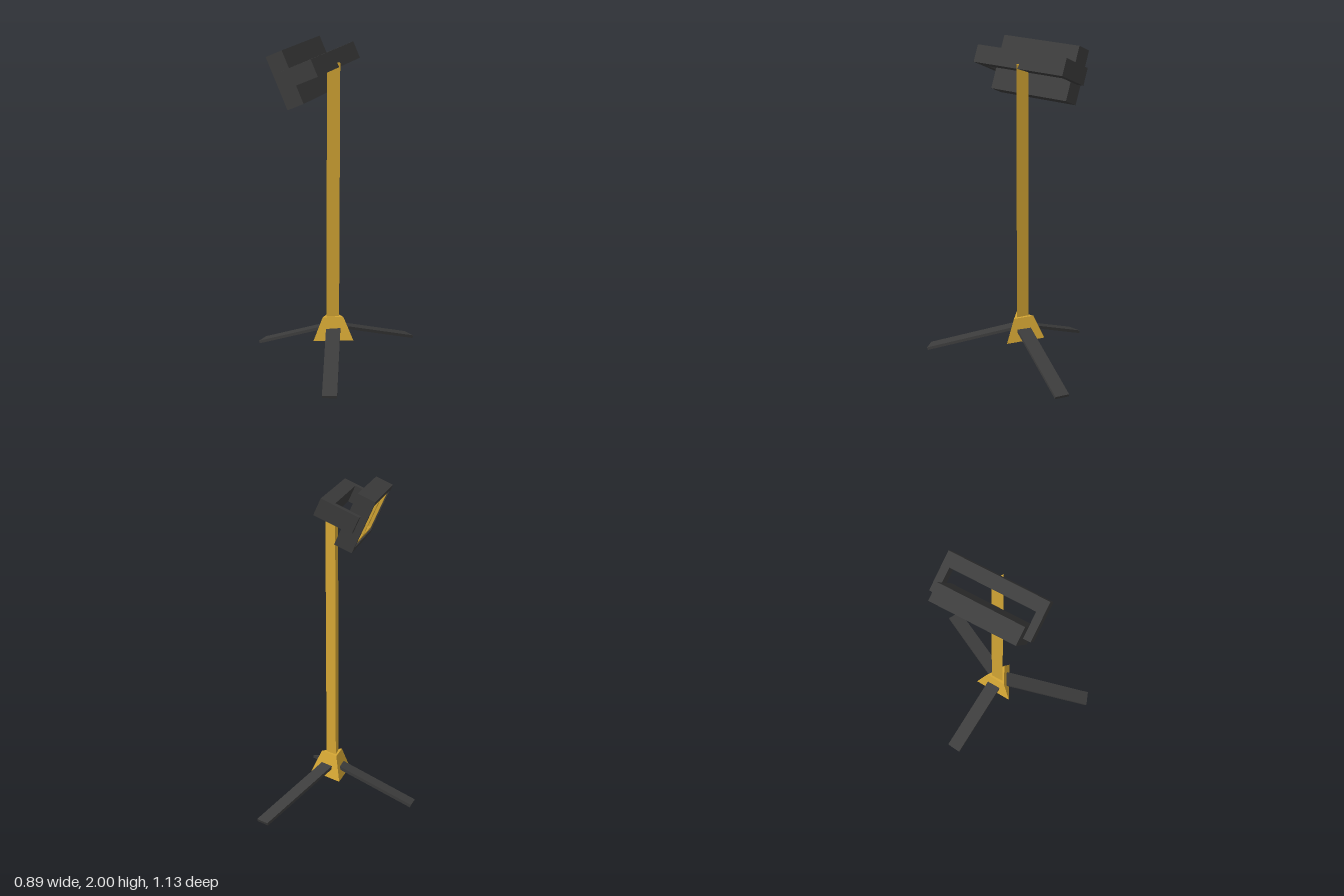
import * as THREE from 'three';

const dark = new THREE.MeshStandardMaterial({ color: 0x3c3c3c, flatShading: true });
const gold = new THREE.MeshStandardMaterial({ color: 0xd4a634, flatShading: true });

function add(parent, name, geometry, material, x = 0, y = 0, z = 0) {
  const mesh = new THREE.Mesh(geometry, material);
  mesh.name = name;
  mesh.position.set(x, y, z);
  parent.add(mesh);
  return mesh;
}

// Three-sided column with one edge towards +x
const prism = (rTop, rBottom, h) =>
  new THREE.CylinderGeometry(rTop, rBottom, h, 3, 1, false, Math.PI / 2);

// Rectangle in (u, v), used as outline or as hole
function rect(path, u0, v0, u1, v1) {
  return path.moveTo(u0, v0).lineTo(u1, v0).lineTo(u1, v1).lineTo(u0, v1).closePath();
}

// Rectangular frame with openings, facing along -x and centred on the origin
function frame(w, h, depth, holes) {
  const shape = rect(new THREE.Shape(), -w / 2, -h / 2, w / 2, h / 2);
  for (const r of holes) shape.holes.push(rect(new THREE.Path(), ...r));
  return new THREE.ExtrudeGeometry(shape, { depth, bevelEnabled: false })
    .translate(0, 0, -depth / 2)
    .rotateY(-Math.PI / 2);
}

// Flat leg from the hub down to its foot at (x, z)
function addLeg(parent, x, z) {
  const foot = new THREE.Vector3(x, 0.011, z);
  const hub = new THREE.Vector3(0.086, 0.213, -0.02);
  const out = foot.clone().sub(hub).setY(0).normalize();
  hub.addScaledVector(out, 0.045);
  const leg = add(parent, 'leg', new THREE.BoxGeometry(0.09, 0.018, hub.distanceTo(foot)), dark);
  leg.position.copy(hub).add(foot).multiplyScalar(0.5);
  leg.lookAt(foot);
}

export function createModel() {
  const model = new THREE.Group();
  model.name = 'floodlightOnTripod';

  // Stand
  add(model, 'pole', prism(0.046, 0.046, 1.7), gold, 0.079, 1.05, -0.018);
  add(model, 'hub', prism(0.075, 0.145, 0.145), gold, 0.08, 0.2175, -0.02).rotation.y = -0.05;
  for (const [x, z] of [[-0.439, -0.078], [0.4, -0.544], [0.304, 0.546]]) addLeg(model, x, z);

  // Tilted lamp head
  const head = new THREE.Group();
  head.name = 'lampHead';
  head.position.set(-0.112, 1.825, -0.019);
  head.rotation.z = 0.426;
  model.add(head);

  // Housing: solid back and a rim around the recessed light panel
  const W = 0.545, H = 0.335, rim = 0.03;
  const u = W / 2 - rim, v = H / 2 - rim;
  add(head, 'housing', new THREE.BoxGeometry(0.084, H, W), dark, 0.015);
  add(head, 'housingRim', frame(W, H, 0.03, [[-u, -v, u, v]]), dark, -0.042);

  // Light panel: two panes in a thin frame
  const b = 0.02;
  add(head, 'panes', new THREE.BoxGeometry(0.004, 2 * v, 2 * u), gold, -0.029);
  add(head, 'paneFrame', frame(2 * u, 2 * v, 0.02, [
    [-u + b, -v + b, -b / 2, v - b],
    [b / 2, -v + b, u - b, v - b],
  ]), gold, -0.039);

  // U-shaped bracket around the housing
  add(head, 'bracketBar', new THREE.BoxGeometry(0.083, 0.108, 0.638), dark, 0.1905, 0.003);
  for (const s of [-1, 1]) {
    add(head, 'bracketArm', new THREE.BoxGeometry(0.164, 0.108, 0.047), dark, 0.067, 0.003, s * 0.2955);
  }
  return model;
}
